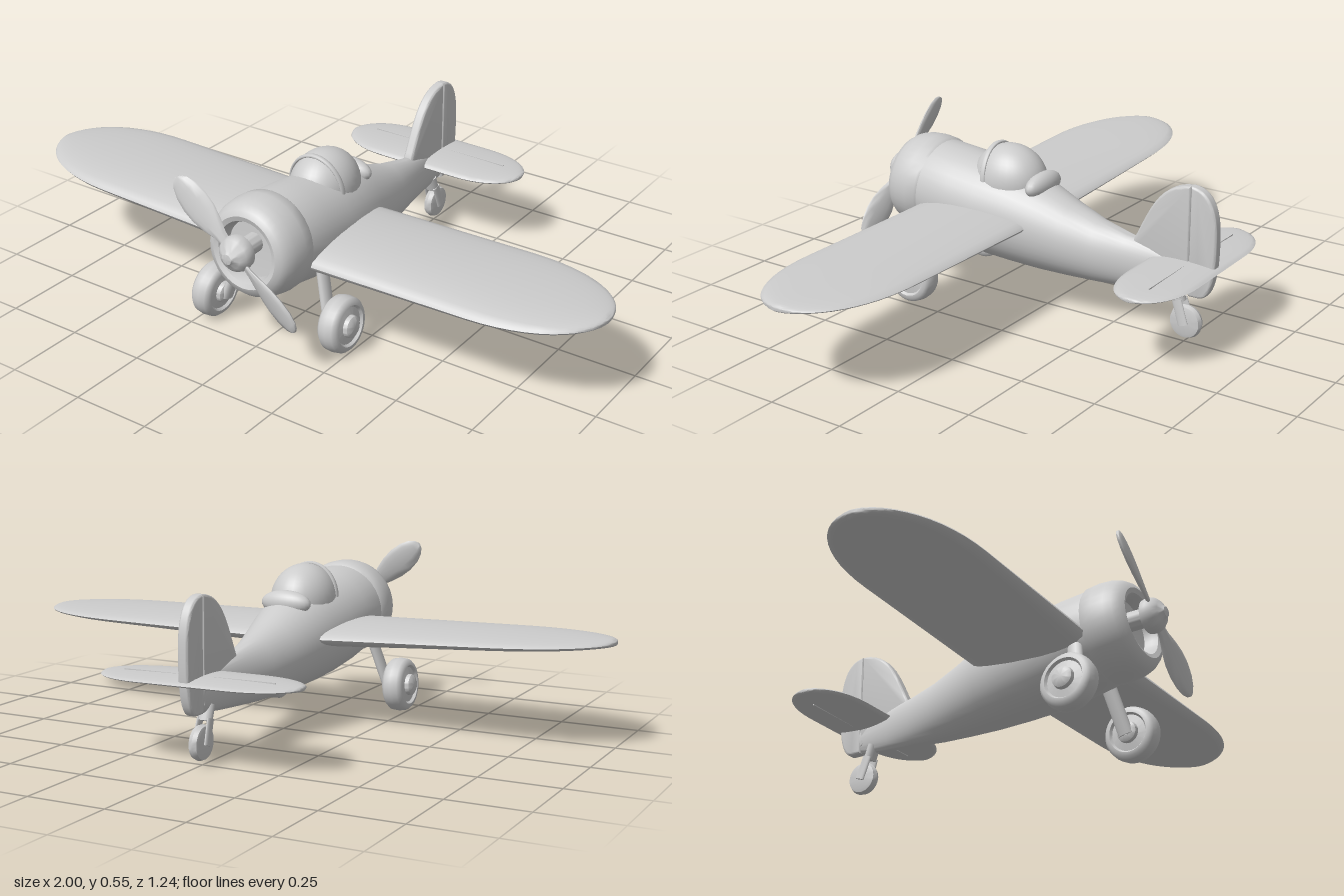
import * as THREE from 'three';
import { toCreasedNormals } from 'three/addons/utils/BufferGeometryUtils.js';

const mat = new THREE.MeshStandardMaterial({ color: 0xcccccc });
const V = (x, y, z) => new THREE.Vector3(x, y, z);

function add(parent, name, geo, x = 0, y = 0, z = 0) {
  const m = new THREE.Mesh(geo, mat);
  m.name = name;
  m.position.set(x, y, z);
  parent.add(m);
  return m;
}

// Skin over closed rings (counter-clockwise around the loft direction), ends closed to a point
function loft(rings) {
  const n = rings[0].length;
  const cap = r => {
    const c = r.reduce((s, p) => s.add(p), V(0, 0, 0)).divideScalar(n);
    return r.map(() => c);
  };
  const all = [cap(rings[0]), ...rings, cap(rings[rings.length - 1])];
  const idx = [];
  for (let i = 0; i < all.length - 1; i++) for (let j = 0; j < n; j++) {
    const a = i * n + j, b = i * n + (j + 1) % n;
    if (i > 0) idx.push(a, b, b + n);
    else idx.push(a, b + n, a + n);
    if (i > 0 && i < all.length - 2) idx.push(a, b + n, a + n);
  }
  const g = new THREE.BufferGeometry().setFromPoints(all.flat());
  g.setIndex(idx);
  g.computeVertexNormals();
  return toCreasedNormals(g, 0.9);
}

// Ring of n points from a function of the angle
const ring = (n, f) => Array.from({ length: n }, (_, i) => f((i / n) * Math.PI * 2));

const lathe = (pts, n = 32) =>
  toCreasedNormals(new THREE.LatheGeometry(pts.map(p => new THREE.Vector2(...p)), n), 0.7);

// Oval rod between two points; w across x, d across z
function rod(parent, name, a, b, w, d) {
  const len = a.distanceTo(b);
  const g = new THREE.CylinderGeometry(0.5, 0.5, len, 16).scale(w, 1, d);
  const m = add(parent, name, g);
  m.position.copy(a).lerp(b, 0.5);
  m.quaternion.setFromUnitVectors(V(0, 1, 0), b.clone().sub(a).normalize());
  return m;
}

// Full-span surface with rounded tips
function surface({ span, straight, chord, thick, tipThick, rise }) {
  const rings = [], steps = 48;
  for (let i = 0; i <= steps; i++) {
    const x = -span * Math.cos((i / steps) * Math.PI), ax = Math.abs(x) / span;
    const t = Math.max(0, (ax - straight) / (1 - straight));
    const round = Math.sqrt(Math.max(0.0004, 1 - t ** 2.2));
    const c = chord * round;
    const h = THREE.MathUtils.lerp(thick, tipThick, ax) * Math.sqrt(round);
    rings.push(ring(24, a => V(x,
      rise * ax - h * Math.sin(a) * (0.9 + 0.2 * Math.cos(a)), c * Math.cos(a))));
  }
  return loft(rings);
}

// Flat panel drawn in the side plane as [z, y] points, with a softened rim
function sidePanel(shape, thick) {
  const bevel = 0.008;
  const g = new THREE.ExtrudeGeometry(shape, {
    depth: thick - 2 * bevel, bevelEnabled: true, bevelThickness: bevel,
    bevelSize: bevel, bevelOffset: -bevel, bevelSegments: 3, curveSegments: 12,
  });
  g.translate(0, 0, -thick / 2 + bevel).rotateY(-Math.PI / 2);
  return toCreasedNormals(g, 0.6);
}

export function createModel() {
  const plane = new THREE.Group();
  plane.name = 'airplane';

  // Fuselage stations: z, bottom, top, half width
  const stations = [
    [-0.56, 0.17, 0.235, 0.012], [-0.5, 0.158, 0.265, 0.018], [-0.4, 0.147, 0.29, 0.03],
    [-0.3, 0.139, 0.31, 0.05], [-0.2, 0.132, 0.333, 0.075], [-0.1, 0.13, 0.368, 0.1],
    [0, 0.13, 0.41, 0.124], [0.1, 0.134, 0.44, 0.14], [0.2, 0.141, 0.455, 0.15],
    [0.3, 0.154, 0.469, 0.153], [0.4, 0.174, 0.478, 0.152], [0.43, 0.185, 0.475, 0.145],
  ];
  add(plane, 'fuselage', loft(stations.map(([z, lo, hi, w]) =>
    ring(36, a => V(w * Math.cos(a), (lo + hi) / 2 + (hi - lo) / 2 * Math.sin(a), z)))));

  // Engine cowl with rolled lip and recessed front
  const cowl = add(plane, 'engineCowl', lathe([
    [0.13, -0.012], [0.148, -0.01], [0.155, 0], [0.157, 0.035], [0.152, 0.075], [0.144, 0.1],
    [0.13, 0.12], [0.112, 0.128], [0.097, 0.122], [0.09, 0.105], [0.088, 0.08], [0, 0.075],
  ], 36).rotateX(Math.PI / 2), 0, 0.33, 0.415);
  cowl.rotation.x = -0.08;

  // Propeller: spinner and two twisted blades
  const prop = new THREE.Group();
  prop.name = 'propeller';
  prop.position.set(0, 0.355, 0.58);
  prop.rotation.z = -0.73;
  plane.add(prop);
  add(prop, 'spinner', lathe([
    [0, -0.1], [0.03, -0.1], [0.03, -0.03], [0.052, -0.025], [0.056, -0.005], [0.05, 0.012],
    [0.036, 0.026], [0.022, 0.032], [0.016, 0.04], [0, 0.043],
  ]).rotateX(Math.PI / 2));
  const bladeStations = [
    [0.03, 0.014], [0.07, 0.02], [0.11, 0.034], [0.15, 0.044], [0.19, 0.047],
    [0.23, 0.042], [0.26, 0.03], [0.275, 0.016], [0.28, 0.004],
  ];
  const blade = loft(bladeStations.map(([r, w]) => {
    const twist = 0.5 - r, h = 0.004 + 0.16 * w;
    return ring(16, a => V(r, w * Math.cos(a), h * Math.sin(a)).applyAxisAngle(V(1, 0, 0), twist));
  }));
  for (const s of [0, 1]) add(prop, 'propellerBlade', blade).rotation.z = s * Math.PI;

  // Main wing, set with a very slight roll and yaw
  const wing = add(plane, 'wing', surface({
    span: 1, straight: 0.65, chord: 0.206, thick: 0.052, tipThick: 0.022, rise: 0.026,
  }), 0, 0.287, 0.212);
  wing.rotation.set(0.03, 0.008, -0.017);

  // Canopy with windscreen frame and rear fairing
  add(plane, 'canopy', new THREE.SphereGeometry(1, 32, 24).scale(0.102, 0.115, 0.125), 0, 0.4, 0.14);
  const frame = add(plane, 'canopyFrame',
    new THREE.TorusGeometry(1, 0.05, 8, 40, Math.PI).scale(0.097, 0.111, 0.2), 0, 0.4, 0.18);
  frame.rotation.x = 0.08;
  add(plane, 'canopyFairing', new THREE.SphereGeometry(1, 24, 16).scale(0.085, 0.04, 0.035), 0, 0.405, 0.017);

  // Fin and rudder meet in a bevelled hinge groove
  const fin = new THREE.Shape();
  fin.moveTo(-0.32, 0.27);
  fin.lineTo(-0.32, 0.295);
  fin.bezierCurveTo(-0.37, 0.39, -0.4, 0.5, -0.515, 0.507);
  fin.lineTo(-0.515, 0.18);
  add(plane, 'fin', sidePanel(fin, 0.034));
  const rudder = new THREE.Shape();
  rudder.moveTo(-0.515, 0.507);
  rudder.bezierCurveTo(-0.575, 0.507, -0.605, 0.45, -0.605, 0.36);
  rudder.bezierCurveTo(-0.607, 0.27, -0.6, 0.16, -0.55, 0.16);
  rudder.lineTo(-0.515, 0.16);
  add(plane, 'rudder', sidePanel(rudder, 0.034));

  // Tailplane with raised hinge strips
  const tail = new THREE.Group();
  tail.name = 'tailplane';
  tail.position.set(0, 0.257, -0.502);
  tail.rotation.set(0.02, 0, -0.012);
  plane.add(tail);
  add(tail, 'stabilizer', surface({
    span: 0.328, straight: 0.42, chord: 0.119, thick: 0.018, tipThick: 0.014, rise: 0,
  }));
  for (const s of [-1, 1])
    add(tail, 'elevatorHinge', new THREE.BoxGeometry(0.2, 0.031, 0.004), s * 0.15, 0, -0.018);

  // Main landing gear
  const wheelGeo = lathe([
    [0, -0.05], [0.022, -0.05], [0.033, -0.043], [0.035, -0.03], [0.058, -0.026], [0.064, -0.034],
    [0.076, -0.032], [0.085, -0.022], [0.088, 0], [0.085, 0.022], [0.076, 0.032], [0.064, 0.034],
    [0.058, 0.026], [0.035, 0.03], [0.033, 0.043], [0.022, 0.05], [0, 0.05],
  ], 36).rotateZ(-Math.PI / 2);
  for (const [s, y, z] of [[1, 0.096, 0.37], [-1, 0.092, 0.412]]) {
    const gear = new THREE.Group();
    gear.name = s > 0 ? 'leftGear' : 'rightGear';
    plane.add(gear);
    const wheel = add(gear, 'mainWheel', wheelGeo, s * 0.221, y, z);
    wheel.rotation.z = s * 0.06;
    rod(gear, 'gearStrut', V(s * 0.178, y - 0.015, z), V(s * 0.125, 0.26, z - 0.035), 0.03, 0.05);
    rod(gear, 'axle', V(s * 0.17, y, z), V(s * 0.23, y, z), 0.04, 0.04);
  }

  // Tail wheel held in a fork
  const tailGear = new THREE.Group();
  tailGear.name = 'tailGear';
  plane.add(tailGear);
  add(tailGear, 'tailWheel', lathe([
    [0, -0.016], [0.038, -0.016], [0.049, -0.013], [0.054, 0], [0.049, 0.013], [0.038, 0.016], [0, 0.016],
  ]).rotateZ(-Math.PI / 2), 0, 0.072, -0.506);
  for (const s of [-1, 1])
    rod(tailGear, 'forkArm', V(s * 0.021, 0.065, -0.507), V(s * 0.017, 0.14, -0.481), 0.012, 0.034);
  rod(tailGear, 'tailStrut', V(0, 0.132, -0.484), V(0, 0.18, -0.467), 0.046, 0.036);

  return plane;
}
